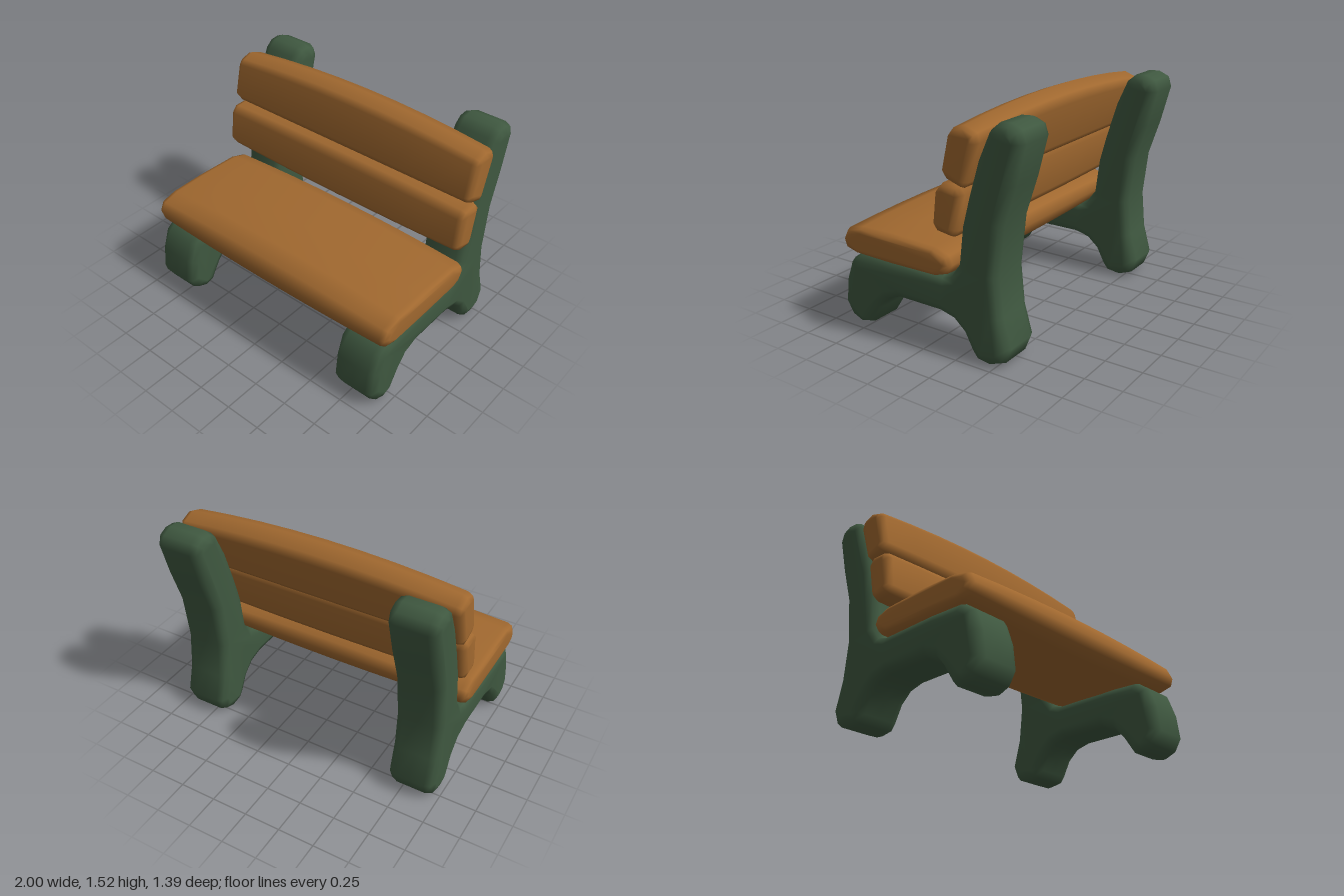
import * as THREE from 'three';
import { mergeVertices } from 'three/addons/utils/BufferGeometryUtils.js';

// Extrude a [z, y] outline along x, centred on x = 0, with rounded ends.
function sideExtrude(outline, width, bevel, steps) {
  const shape = new THREE.Shape(outline.map(([z, y]) => new THREE.Vector2(z, y)));
  const geo = new THREE.ExtrudeGeometry(shape, {
    depth: width - 2 * bevel, steps,
    bevelThickness: bevel, bevelSize: bevel, bevelOffset: -bevel, bevelSegments: 2,
  });
  geo.translate(0, 0, bevel - width / 2);
  geo.rotateY(-Math.PI / 2);
  return geo;
}

// Weld the corners so the surface shades softly.
function soften(geo) {
  geo.deleteAttribute('uv');
  geo.deleteAttribute('normal');
  const welded = mergeVertices(geo, 1e-4);
  welded.computeVertexNormals();
  return welded;
}

// A plank that is thickest in the middle and thins towards both ends.
function plankGeometry(outline, topDrop, bottomRise, pinch) {
  const geo = sideExtrude(outline, 2, 0.045, 8);
  geo.computeBoundingBox();
  const { min, max } = geo.boundingBox;
  const midZ = (min.z + max.z) / 2;
  const p = geo.attributes.position;
  for (let i = 0; i < p.count; i++) {
    const t = p.getX(i) ** 2;
    const h = (p.getY(i) - min.y) / (max.y - min.y);
    p.setY(i, p.getY(i) + t * (bottomRise * (1 - h) - topDrop * h));
    p.setZ(i, midZ + (p.getZ(i) - midZ) * (1 - pinch * t));
  }
  return soften(geo);
}

export function createModel() {
  const group = new THREE.Group();
  group.name = 'bench';
  const wood = new THREE.MeshStandardMaterial({ color: 0xa0682f });
  wood.name = 'warm wood';
  const green = new THREE.MeshStandardMaterial({ color: 0x3f5840 });
  green.name = 'dark green';

  const add = (name, geo, material, x = 0) => {
    const mesh = new THREE.Mesh(geo, material);
    mesh.name = name;
    mesh.position.x = x;
    group.add(mesh);
  };

  // Side frames: front leg, seat rail, back leg and leaning back post in one piece
  const frame = soften(sideExtrude([
    [0.56, 0.005], [0.645, 0.04], [0.7, 0.13], [0.68, 0.3], [0.63, 0.44], [0.54, 0.505],
    [0.3, 0.515], [-0.12, 0.51], [-0.18, 0.53], [-0.24, 0.61],
    [-0.27, 0.86], [-0.32, 1.05], [-0.39, 1.28], [-0.465, 1.45], [-0.525, 1.5],
    [-0.6, 1.505], [-0.67, 1.475], [-0.695, 1.4], [-0.63, 1.15], [-0.55, 0.9],
    [-0.515, 0.58], [-0.54, 0.33], [-0.595, 0.14], [-0.555, 0.04], [-0.465, 0.005],
    [-0.37, 0.02], [-0.33, 0.07], [-0.275, 0.175], [-0.2, 0.24], [-0.1, 0.265],
    [0.23, 0.265], [0.33, 0.23], [0.4, 0.15], [0.48, 0.025],
  ], 0.325, 0.06, 2));
  add('leftFrame', frame, green, 0.803);
  add('rightFrame', frame, green, -0.817);

  // Seat
  add('seat', plankGeometry([
    [0.655, 0.6], [0.62, 0.695], [0.5, 0.735], [0.25, 0.742], [-0.09, 0.727], [-0.195, 0.68],
    [-0.22, 0.605], [-0.18, 0.52], [-0.1, 0.485], [0.25, 0.478], [0.54, 0.485], [0.635, 0.52],
  ], 0.045, 0.03, 0.02), wood);

  // Backrest planks
  add('lowerBackPlank', plankGeometry([
    [-0.08, 0.84], [-0.105, 1.065], [-0.15, 1.12], [-0.275, 1.125],
    [-0.318, 1.07], [-0.27, 0.82], [-0.235, 0.772], [-0.115, 0.79],
  ], 0.02, 0.015, 0.06), wood);
  add('upperBackPlank', plankGeometry([
    [-0.15, 1.2], [-0.205, 1.455], [-0.235, 1.495], [-0.32, 1.525], [-0.415, 1.485],
    [-0.43, 1.42], [-0.345, 1.14], [-0.31, 1.098], [-0.19, 1.14],
  ], 0.065, 0.0, 0.08), wood);

  return group;
}
